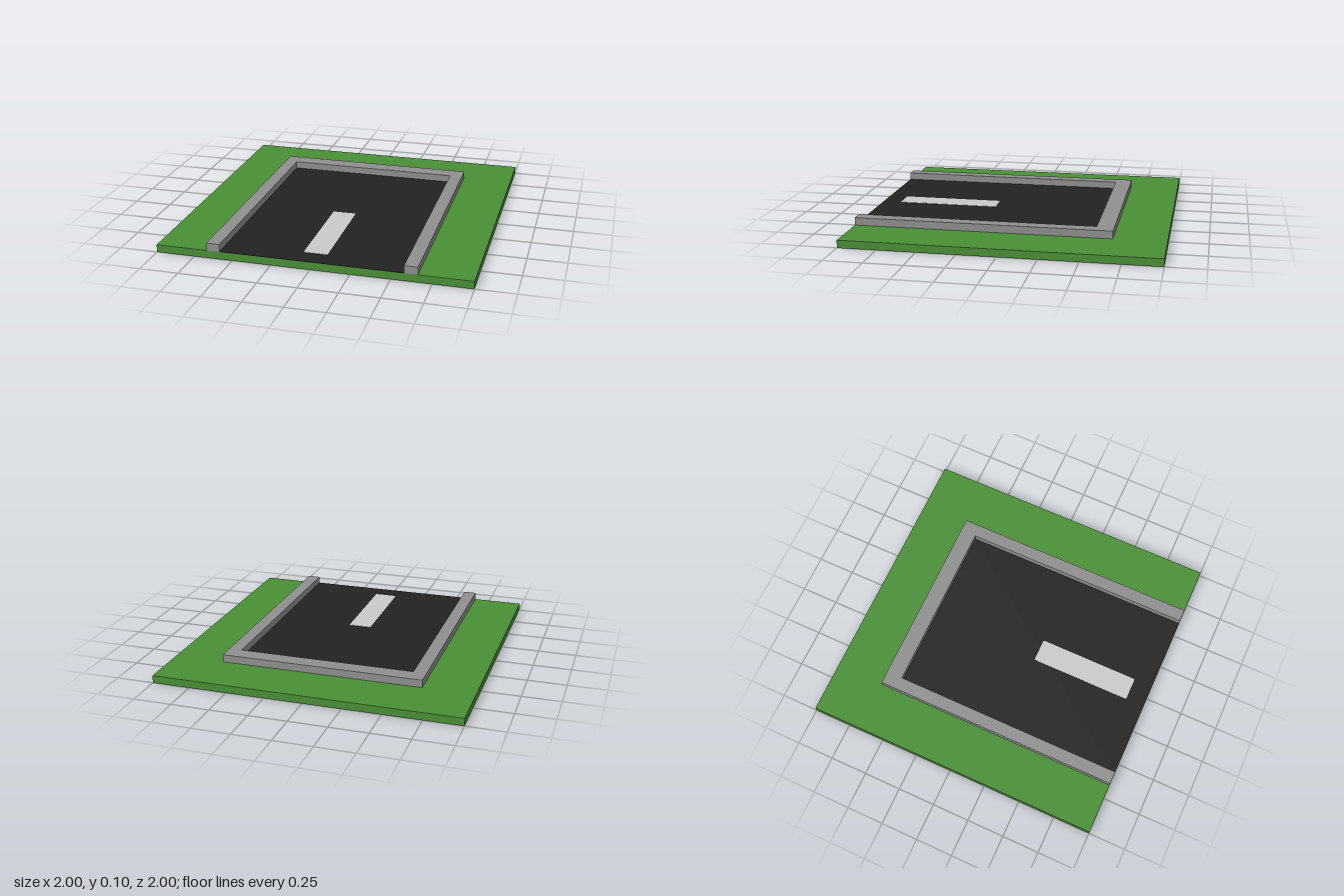
import * as THREE from 'three';

const material = (name, color) => {
  const m = new THREE.MeshStandardMaterial({ color });
  m.name = name;
  return m;
};

// Extrudes a ground-plan outline (x, z points) upwards from y = bottom
function slab(name, shape, bottom, height, mat) {
  const geometry = new THREE.ExtrudeGeometry(shape, { depth: height, bevelEnabled: false, curveSegments: 3 });
  geometry.rotateX(-Math.PI / 2);
  const mesh = new THREE.Mesh(geometry, mat);
  mesh.name = name;
  mesh.position.y = bottom;
  return mesh;
}

const outline = (points) => new THREE.Shape(points.map(([x, z]) => new THREE.Vector2(x, -z)));
const rectangle = (x, z0, z1) => outline([[-x, z1], [x, z1], [x, z0], [-x, z0]]);

export function createModel() {
  const group = new THREE.Group();
  group.name = 'roadEnd';

  const grass = material('grass green', 0x4a8f36);
  const concrete = material('kerb grey', 0x8f8f8f);
  const asphalt = material('asphalt black', 0x222222);
  const paint = material('line white', 0xcacaca);

  const ground = 0.05;
  const outer = 0.665, inner = 0.58, back = -0.665, roadBack = -0.555;

  // Square grass tile
  group.add(slab('grassTile', rectangle(1, -1, 1), 0, ground, grass));

  // U-shaped kerb closing the road at the back
  const kerb = outline([
    [-outer, 1], [-inner, 1], [-inner, roadBack], [inner, roadBack],
    [inner, 1], [outer, 1], [outer, back], [-outer, back],
  ]);
  group.add(slab('kerb', kerb, ground, 0.05, concrete));

  // Thin road surface between the kerbs
  group.add(slab('roadSurface', rectangle(inner, roadBack, 1), ground, 0.002, asphalt));

  // Centre line with slightly rounded corners
  const w = 0.077, z0 = 0.2, z1 = 0.875, r = 0.008;
  const line = new THREE.Shape();
  line.moveTo(-w + r, -z1);
  line.lineTo(w - r, -z1).quadraticCurveTo(w, -z1, w, -z1 + r);
  line.lineTo(w, -z0 - r).quadraticCurveTo(w, -z0, w - r, -z0);
  line.lineTo(-w + r, -z0).quadraticCurveTo(-w, -z0, -w, -z0 - r);
  line.lineTo(-w, -z1 + r).quadraticCurveTo(-w, -z1, -w + r, -z1);
  group.add(slab('centreLine', line, ground + 0.002, 0.002, paint));

  return group;
}
